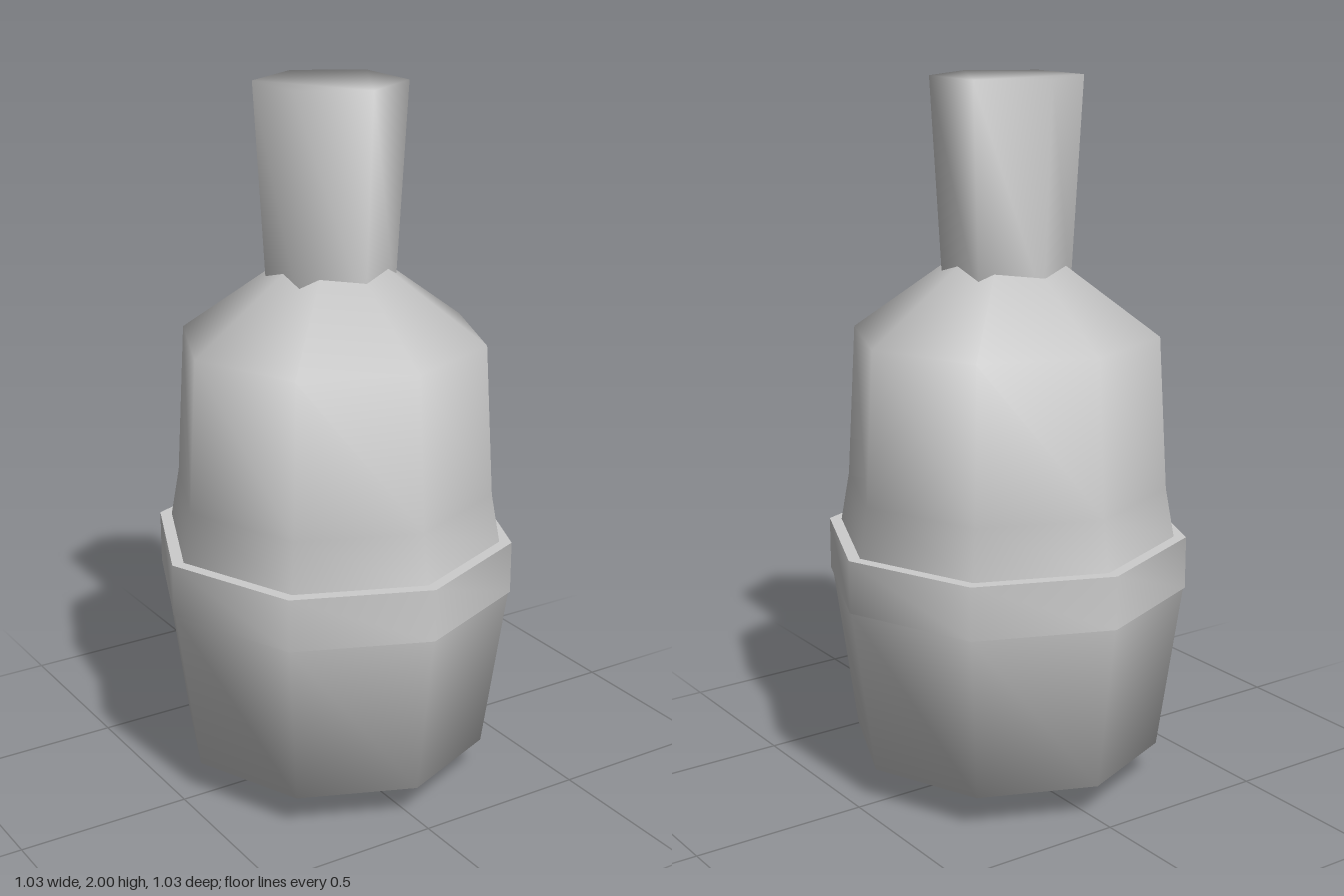
import * as THREE from 'three';
import { mergeGeometries, mergeVertices } from 'three/addons/utils/BufferGeometryUtils.js';

const grey = new THREE.MeshStandardMaterial({ color: 0xcccccc });
grey.name = 'plain grey';

// Weld shared corners so the shading runs smoothly over the low-poly form
function weld(geometry) {
  geometry.deleteAttribute('normal');
  geometry.deleteAttribute('uv');
  const welded = mergeVertices(geometry, 1e-4);
  welded.computeVertexNormals();
  return welded;
}

// Turned form from [radius, height] pairs, listed bottom to top
function turned(profile, sides) {
  return new THREE.LatheGeometry(profile.map(([r, y]) => new THREE.Vector2(r, y)), sides);
}

function part(name, geometry) {
  const mesh = new THREE.Mesh(geometry, grey);
  mesh.name = name;
  return mesh;
}

export function createModel() {
  const model = new THREE.Group();
  model.name = 'bottle';

  // Tapered lower body with a shallow pointed base
  model.add(part('lowerBody', weld(turned([[0, 0], [0.443, 0.1], [0.51, 0.58]], 8))));

  // Raised band: wall first, then its narrow ledges
  model.add(part('band', weld(turned([[0.515, 0.58], [0.515, 0.73]], 8))));
  model.add(part('bandTop', weld(turned([[0.515, 0.73], [0.47, 0.73]], 8))));
  model.add(part('bandUnderside', weld(turned([[0.5, 0.58], [0.515, 0.58]], 8))));

  // Upper body and sloping shoulder, closed inside the neck
  model.add(part('upperBody', weld(turned(
    [[0.48, 0.73], [0.455, 0.87], [0.43, 1.3], [0, 1.61]], 8))));

  // Six-sided flared neck with a flat cap
  const topRadius = 0.208;
  const rim = [];
  for (let i = 0; i < 6; i++) {
    const a = i * Math.PI / 3;
    rim.push(new THREE.Vector2(topRadius * Math.sin(a), topRadius * Math.cos(a)));
  }
  const cap = new THREE.ShapeGeometry(new THREE.Shape(rim)).rotateX(-Math.PI / 2).translate(0, 2, 0);
  const wall = turned([[0.175, 1.4], [topRadius, 2]], 6);
  const neck = part('neck', weld(mergeGeometries([wall, cap])));
  neck.position.z = -0.008;
  model.add(neck);

  return model;
}
